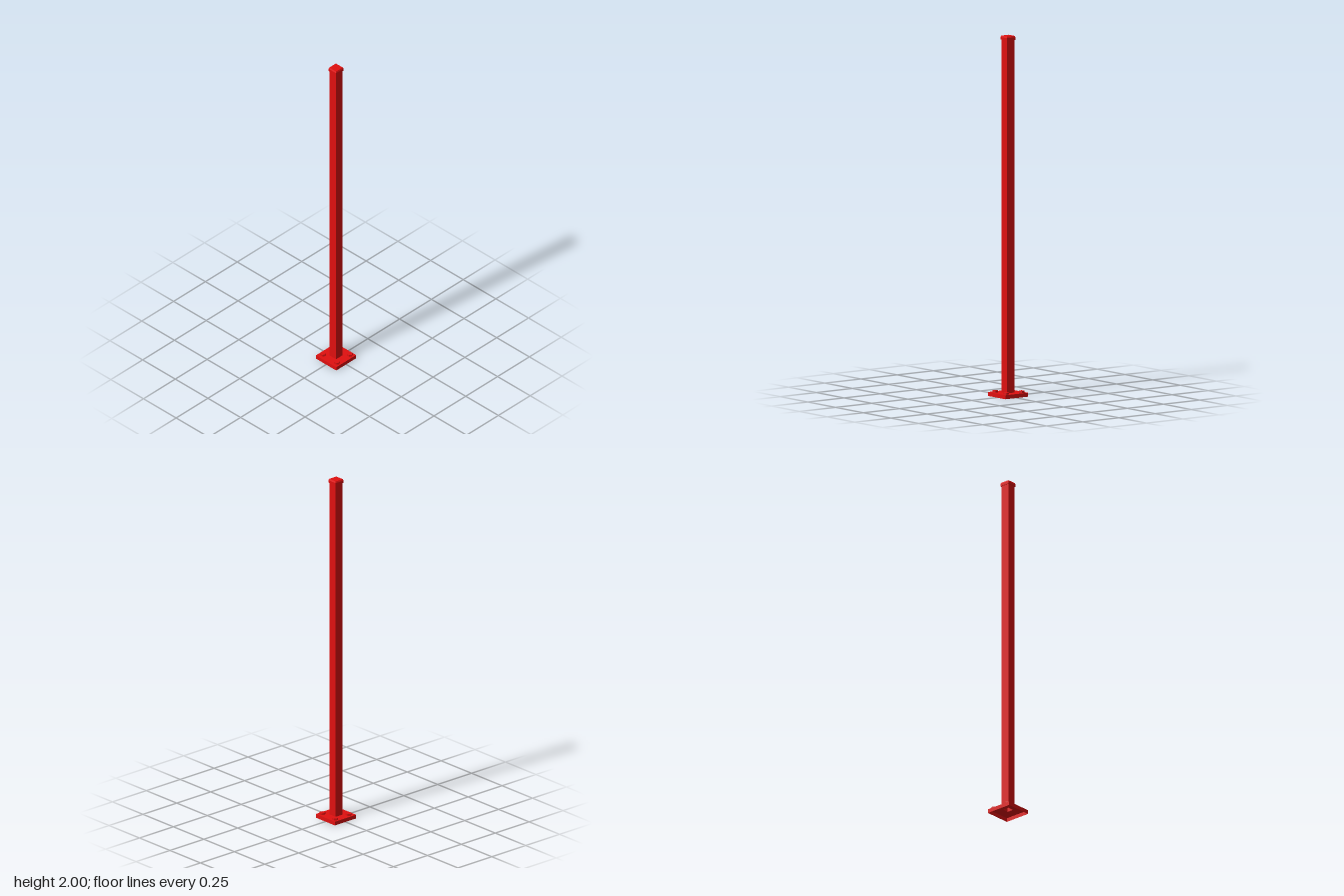
import * as THREE from 'three';

const red = new THREE.MeshStandardMaterial({ color: 0xe01010, flatShading: true, side: THREE.DoubleSide });

function square(shape, size) {
  const h = size / 2;
  shape.moveTo(-h, -h);
  shape.lineTo(h, -h);
  shape.lineTo(h, h);
  shape.lineTo(-h, h);
  shape.closePath();
  return shape;
}

// Upright square tube: outer size, inner opening, from y0 to y1
function squareTube(outer, inner, y0, y1) {
  const shape = square(new THREE.Shape(), outer);
  shape.holes.push(square(new THREE.Path(), inner));
  const g = new THREE.ExtrudeGeometry(shape, { depth: y1 - y0, bevelEnabled: false });
  return g.rotateX(-Math.PI / 2).translate(0, y0, 0);
}

// Four-sided tapered block, open-ended if wanted
function squareBlock(bottom, top, y0, y1, open = false) {
  const g = new THREE.CylinderGeometry(top * Math.SQRT1_2, bottom * Math.SQRT1_2, y1 - y0, 4, 1, open);
  return g.rotateY(Math.PI / 4).translate(0, (y0 + y1) / 2, 0);
}

export function createModel() {
  const model = new THREE.Group();
  model.name = 'post';
  const add = (name, geometry, parent = model) => {
    const mesh = new THREE.Mesh(geometry, red);
    mesh.name = name;
    parent.add(mesh);
    return mesh;
  };

  // Base plate: hollow underneath, pierced where the tube stands
  const plate = 0.156, plateTop = 0.022, bore = 0.038;
  const base = new THREE.Group();
  base.name = 'basePlate';
  model.add(base);
  add('baseSkirt', squareBlock(plate, plate, 0, plateTop, true), base);
  const topShape = square(new THREE.Shape(), plate);
  topShape.holes.push(square(new THREE.Path(), bore));
  add('baseTop', new THREE.ShapeGeometry(topShape).rotateX(-Math.PI / 2).translate(0, plateTop, 0), base);

  // Hollow upright
  add('upright', squareTube(0.052, bore, plateTop, 1.982));

  // End cap with a chamfered top
  const cap = new THREE.Group();
  cap.name = 'endCap';
  model.add(cap);
  add('capSides', squareBlock(0.059, 0.059, 1.978, 1.992), cap);
  add('capChamfer', squareBlock(0.059, 0.052, 1.992, 2), cap);

  // Hexagonal bolt heads, points along x
  for (const x of [-0.053, 0.053]) {
    for (const z of [-0.054, 0.046]) {
      const bolt = add('boltHead', new THREE.CylinderGeometry(0.017, 0.017, 0.011, 6).rotateY(Math.PI / 2));
      bolt.position.set(x, plateTop + 0.0055, z);
    }
  }
  return model;
}
